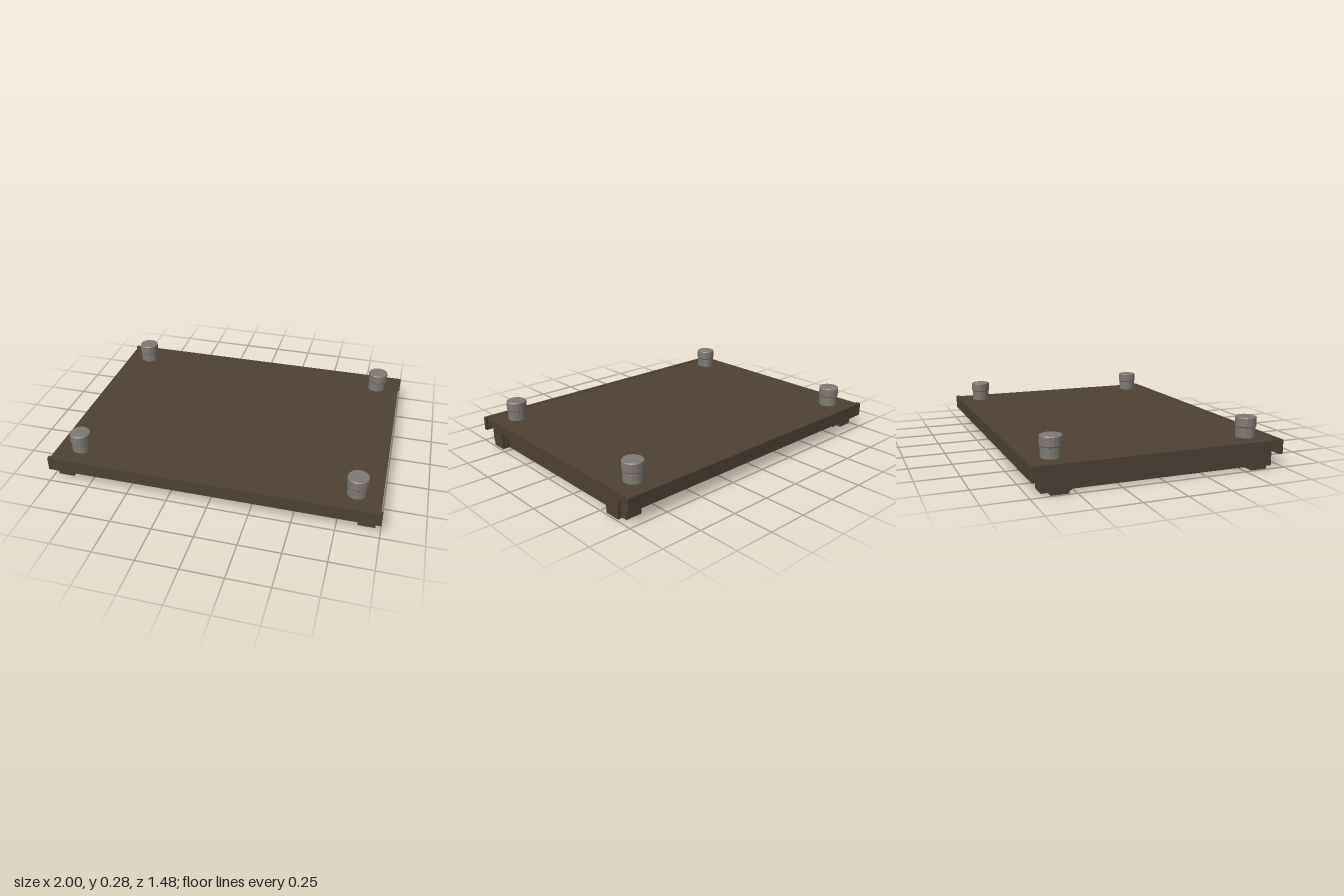
import * as THREE from 'three';

export function createModel() {
  const wood = new THREE.MeshStandardMaterial({ color: 0x4f4135 });
  wood.name = 'dark wood';
  const metal = new THREE.MeshStandardMaterial({ color: 0x7f7a73, flatShading: true });
  metal.name = 'grey metal';

  const model = new THREE.Group();
  model.name = 'panel';

  // Box given by its lower and upper corners
  const box = (name, x0, x1, y0, y1, z0, z1) => {
    const mesh = new THREE.Mesh(new THREE.BoxGeometry(x1 - x0, y1 - y0, z1 - z0), wood);
    mesh.position.set((x0 + x1) / 2, (y0 + y1) / 2, (z0 + z1) / 2);
    mesh.name = name;
    model.add(mesh);
  };
  // Same, mirrored to the sides given by sx and sz
  const mirrored = (name, sx, sz, x0, x1, y0, y1, z0, z1) => box(name,
    Math.min(sx * x0, sx * x1), Math.max(sx * x0, sx * x1), y0, y1,
    Math.min(sz * z0, sz * z1), Math.max(sz * z0, sz * z1));

  box('topBoard', -0.99, 0.99, 0.11, 0.16, -0.716, 0.716);

  // Stepped peg with a small bevel at the top
  const pegGeometry = new THREE.LatheGeometry([
    [0.058, 0.158], [0.058, 0.22], [0.0625, 0.225], [0.0625, 0.275], [0.058, 0.28], [0, 0.28],
  ].map(([r, y]) => new THREE.Vector2(r, y)), 16);

  for (const s of [-1, 1]) {
    // Strips capping the board at front and back
    mirrored('edgeStrip', 1, s, -1, 1, 0.08, 0.163, 0.714, 0.74);
    // Rails of the frame underneath
    mirrored('longRail', 1, s, -0.87, 0.87, 0.012, 0.111, 0.54, 0.64);
    mirrored('sideRail', s, 1, 0.87, 0.955, 0.012, 0.111, -0.54, 0.54);

    // Crossed corner blocks and pegs
    for (const t of [-1, 1]) {
      mirrored('cornerBlockSide', s, t, 0.85, 0.989, 0, 0.111, 0.54, 0.639);
      mirrored('cornerBlockFront', s, t, 0.87, 0.97, 0.01, 0.111, 0.52, 0.685);
      const peg = new THREE.Mesh(pegGeometry, metal);
      peg.position.set(s * 0.842, 0, t * 0.588);
      peg.name = 'peg';
      model.add(peg);
    }
  }
  return model;
}
